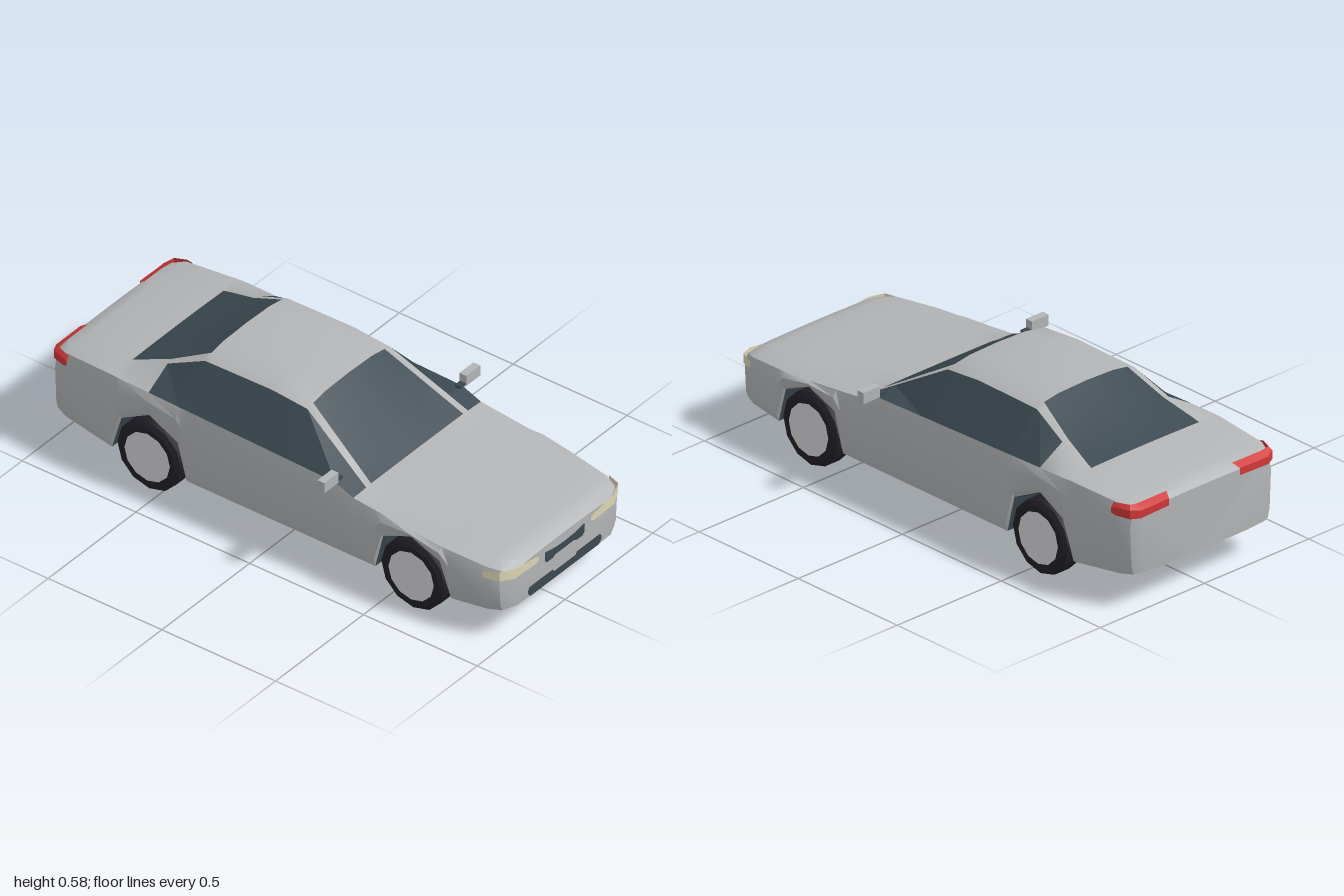
import * as THREE from 'three';
import { toCreasedNormals } from 'three/addons/utils/BufferGeometryUtils.js';

const mat = (name, color, side = THREE.FrontSide) => {
  const m = new THREE.MeshStandardMaterial({ color, side });
  m.name = name;
  return m;
};

// Piecewise-linear curve through [z, value] keys ordered front to back
const curve = (keys) => (z) => {
  if (z >= keys[0][0]) return keys[0][1];
  for (let i = 1; i < keys.length; i++) {
    const [z0, v0] = keys[i - 1], [z1, v1] = keys[i];
    if (z >= z1) return v0 + ((v1 - v0) * (z0 - z)) / (z0 - z1);
  }
  return keys[keys.length - 1][1];
};
const mix = THREE.MathUtils.lerp;

// Body outline curves along the length
const bottomY = curve([[0.995, 0.125], [0.775, 0.11], [0.735, 0.25], [0.61, 0.305], [0.48, 0.25], [0.445, 0.105],
  [-0.385, 0.105], [-0.42, 0.25], [-0.55, 0.315], [-0.67, 0.25], [-0.715, 0.105], [-0.996, 0.14]]);
const halfWidth = curve([[0.995, 0.28], [0.97, 0.335], [0.92, 0.357], [0.735, 0.378],
  [-0.67, 0.378], [-0.93, 0.358], [-0.98, 0.338], [-0.996, 0.305]]);
const beltY = curve([[0.995, 0.272], [0.97, 0.29], [0.92, 0.3], [0.61, 0.328], [0.35, 0.356], [0.27, 0.388],
  [-0.55, 0.412], [-0.7, 0.415], [-0.93, 0.405], [-0.98, 0.388], [-0.996, 0.37]]);
const topY = curve([[0.995, 0.287], [0.97, 0.306], [0.92, 0.317], [0.61, 0.338], [0.35, 0.362], [0.05, 0.556],
  [-0.11, 0.581], [-0.4, 0.571], [-0.55, 0.49], [-0.7, 0.432], [-0.93, 0.416], [-0.98, 0.402], [-0.996, 0.385]]);
const railX = curve([[0.35, 0.29], [0.05, 0.235], [-0.4, 0.235], [-0.55, 0.255], [-0.7, 0.298]]);
const railDrop = curve([[0.92, 0.005], [0.35, 0.003], [0.05, 0.024], [-0.11, 0.035], [-0.4, 0.03], [-0.55, 0.015], [-0.7, 0.006]]);
const paneX = curve([[0.35, 0.262], [0.05, 0.203], [-0.4, 0.2], [-0.7, 0.26]]);
const paneDrop = curve([[0.92, 0.003], [0.35, 0.001], [0.05, 0.015], [-0.11, 0.02], [-0.4, 0.015], [-0.7, 0.003]]);

const stations = [0.995, 0.97, 0.92, 0.775, 0.735, 0.61, 0.48, 0.445, 0.35, 0.27, 0.05, -0.11, -0.385, -0.4,
  -0.42, -0.55, -0.67, -0.7, -0.715, -0.93, -0.98, -0.996];

// Closed cross-section, from the bottom centre up the left side and down the right
function section(z) {
  const w = halfWidth(z), yb = bottomY(z), belt = beltY(z), top = topY(z);
  const s = w / 0.378, inner = 0.105 + (yb - 0.105) * 0.85;
  const half = [
    [0, inner], [0.25 * s, inner], [0.955 * w, yb], [0.98 * w, mix(yb, belt, 0.13)], [w, mix(yb, belt, 0.72)],
    [0.96 * w, belt], [railX(z) * s, top - railDrop(z)], [paneX(z) * s, top - paneDrop(z)],
    [0.13 * s, top - paneDrop(z) * 0.25], [0, top],
  ];
  const other = half.slice(1, -1).reverse().map(([x, y]) => [-x, y]);
  return [...half, ...other].map(([x, y]) => [x, y, z]);
}

// Lofts the shell and sorts its faces into paint, glass and underside
function buildShell() {
  const out = { paint: [], glass: [], under: [] };
  const rings = stations.map(section), n = rings[0].length;
  for (let i = 0; i < rings.length - 1; i++) {
    const z = (stations[i] + stations[i + 1]) / 2;
    for (let c = 0; c < n; c++) {
      const cell = Math.min(c, n - 1 - c), d = (c + 1) % n;
      const sideGlass = cell === 5 && z < 0.35 && z > -0.55;
      const endGlass = cell >= 7 && ((z < 0.35 && z > 0.05) || (z < -0.4 && z > -0.7));
      const part = cell < 2 ? 'under' : sideGlass || endGlass ? 'glass' : 'paint';
      const a = rings[i][c], b = rings[i][d], e = rings[i + 1][c], f = rings[i + 1][d];
      out[part].push(...a, ...e, ...b, ...b, ...e, ...f);
    }
  }
  // Nose and tail faces
  const nose = rings[0], tail = rings[rings.length - 1];
  for (let c = 1; c < n - 1; c++) {
    out.paint.push(...nose[0], ...nose[c], ...nose[c + 1], ...tail[0], ...tail[c + 1], ...tail[c]);
  }
  return out;
}

function soup(points, crease) {
  const g = new THREE.BufferGeometry();
  g.setAttribute('position', new THREE.Float32BufferAttribute(points, 3));
  g.computeVertexNormals();
  return toCreasedNormals(g, crease);
}

// Thin skin through rows of points, placed on the given side
function patch(rows, side) {
  const pts = [], p = (r, c) => [rows[r][c][0] * side, rows[r][c][1], rows[r][c][2]];
  for (let r = 0; r < rows.length - 1; r++) {
    for (let c = 0; c < rows[r].length - 1; c++) {
      const q = [p(r, c), p(r, c + 1), p(r + 1, c), p(r + 1, c + 1)];
      const order = side > 0 ? [0, 1, 2, 1, 3, 2] : [0, 2, 1, 1, 2, 3];
      order.forEach((k) => pts.push(...q[k]));
    }
  }
  return soup(pts, 0.6);
}

// Flat plate from the left half of its outline, mirrored
function plate(half) {
  const pts = [...half, ...half.slice().reverse().map(([x, y]) => [-x, y])];
  return new THREE.ShapeGeometry(new THREE.Shape(pts.map(([x, y]) => new THREE.Vector2(x, y))));
}

export function createModel() {
  const paint = mat('silver paint', 0xb2b4b6);
  const dark = mat('dark glass and trim', 0x3b4850, THREE.DoubleSide);
  const rubber = mat('tyre rubber', 0x211f27);
  const hubMat = mat('wheel metal', 0xd6d6da);
  const lampMat = mat('headlight cream', 0xddd6b4, THREE.DoubleSide);
  const tailMat = mat('tail light red', 0xd03838, THREE.DoubleSide);

  const car = new THREE.Group();
  car.name = 'car';
  const add = (name, geo, material, parent = car) => {
    const m = new THREE.Mesh(geo, material);
    m.name = name;
    parent.add(m);
    return m;
  };

  const shell = buildShell();
  add('body', soup(shell.paint, 0.55), paint);
  add('windows', soup(shell.glass, 0.3), dark);
  add('underside', soup(shell.under, 0.3), dark);

  // Grille and lower air intake
  add('grille', plate([[0, 0.252], [0.05, 0.254], [0.11, 0.264], [0.114, 0.258], [0.112, 0.226], [0.1, 0.216],
    [0.065, 0.217], [0.055, 0.224], [0, 0.224]]), dark).position.z = 0.999;
  add('lowerIntake', plate([[0, 0.156], [0.062, 0.156], [0.068, 0.167], [0.2, 0.167], [0.209, 0.155], [0.209, 0.142],
    [0.195, 0.126], [0, 0.126]]), dark).position.z = 0.999;

  // Lamps wrap around the corners: columns of x, z, low y, high y
  const lamp = [[0.148, 1, 0.254, 0.268], [0.165, 1, 0.246, 0.275], [0.283, 0.998, 0.249, 0.29],
    [0.338, 0.973, 0.257, 0.295], [0.361, 0.915, 0.264, 0.29]];
  const tail = [[0.17, -1, 0.362, 0.389], [0.305, -1, 0.358, 0.388], [0.342, -0.983, 0.36, 0.394],
    [0.361, -0.93, 0.364, 0.394], [0.363, -0.91, 0.368, 0.388]];

  // Twelve-sided wheel
  const tyre = new THREE.LatheGeometry([[0.1, -0.047], [0.122, -0.047], [0.14, -0.035], [0.14, 0.035],
    [0.122, 0.047], [0.1, 0.047]].map(([r, y]) => new THREE.Vector2(r, y)), 12);
  const tyreGeo = toCreasedNormals(tyre, 0.6).rotateZ(-Math.PI / 2);
  const hubGeo = new THREE.CylinderGeometry(0.104, 0.104, 0.092, 12).rotateZ(-Math.PI / 2);

  for (const side of [1, -1]) {
    const label = side > 0 ? 'left' : 'right';
    add(label + 'Headlight', patch([lamp.map(([x, z, , y]) => [x, y, z]), lamp.map(([x, z, y]) => [x, y, z])], side), lampMat);
    add(label + 'TailLight', patch([
      tail.map(([x, z, , y]) => [x - 0.012, Math.min(y + 0.016, 0.409), Math.max(z, -0.973)]),
      tail.map(([x, z, , y]) => [x, y, z]),
      tail.map(([x, z, y]) => [x, y, z]),
    ], side), tailMat);

    // Door mirror on a short arm
    add(label + 'Mirror', new THREE.BoxGeometry(0.08, 0.043, 0.03), paint).position.set(side * 0.404, 0.415, 0.27);
    add(label + 'MirrorArm', new THREE.BoxGeometry(0.045, 0.01, 0.024), dark).position.set(side * 0.357, 0.4, 0.27);

    for (const [end, z] of [['Front', 0.61], ['Rear', -0.55]]) {
      const wheel = new THREE.Group();
      wheel.name = label + end + 'Wheel';
      wheel.position.set(side * 0.324, 0.14, z);
      add('tyre', tyreGeo, rubber, wheel);
      add('hub', hubGeo, hubMat, wheel);
      car.add(wheel);
    }
  }
  return car;
}
